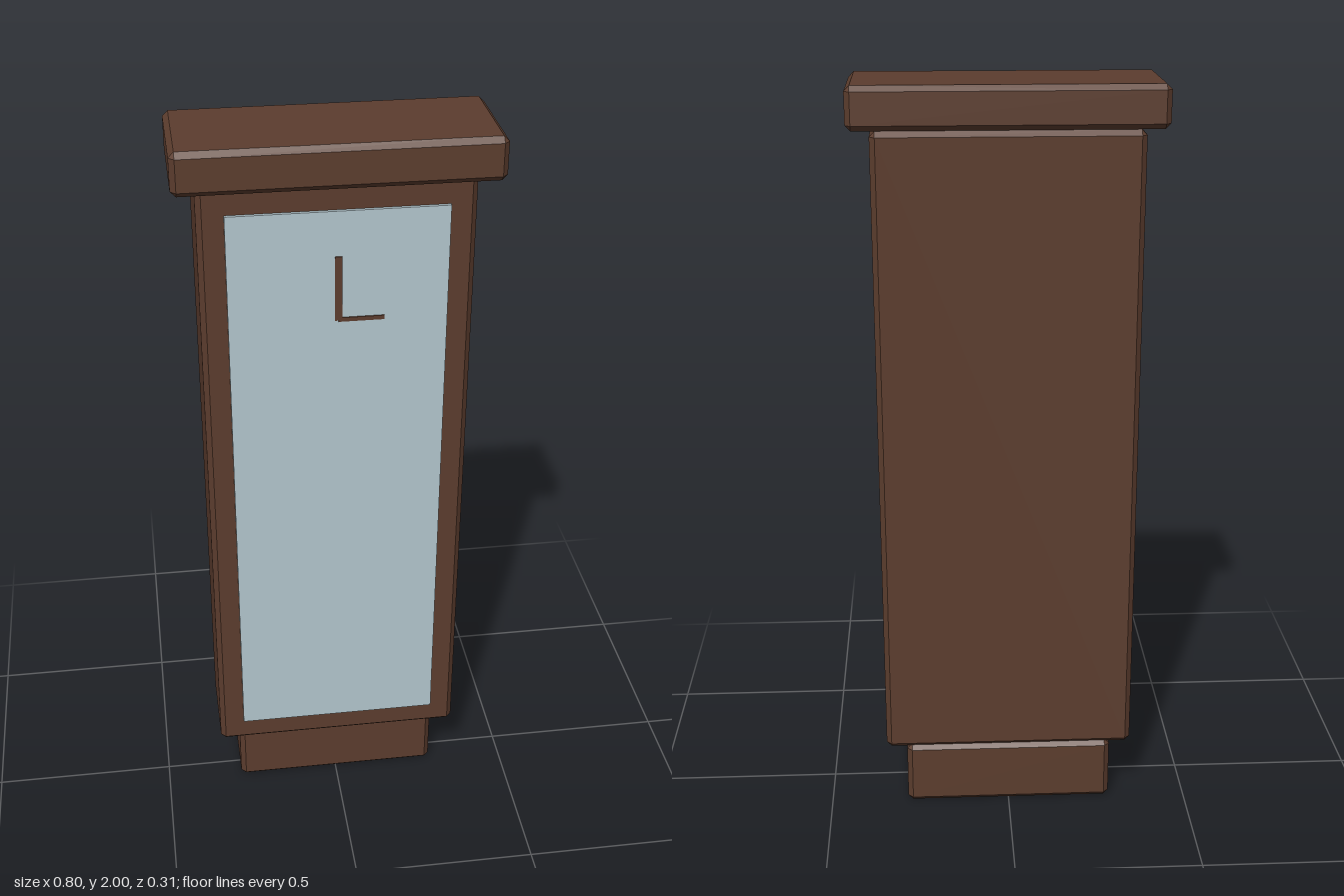
import * as THREE from 'three';
import { ConvexGeometry } from 'three/addons/geometries/ConvexGeometry.js';

const wood = new THREE.MeshStandardMaterial({ name: 'dark brown wood', color: 0x5c3d2e });
const glass = new THREE.MeshStandardMaterial({ name: 'pale blue glass', color: 0xb4c7ce });

const BACK = -0.155; // all wooden blocks share one flat back plane

// Box with every edge and corner cut by a flat chamfer c
function chamferedBox(w, h, d, c) {
  const points = [];
  const [x, y, z] = [w / 2, h / 2, d / 2];
  for (const sx of [-1, 1]) for (const sy of [-1, 1]) for (const sz of [-1, 1]) {
    points.push(
      new THREE.Vector3(sx * x, sy * (y - c), sz * (z - c)),
      new THREE.Vector3(sx * (x - c), sy * y, sz * (z - c)),
      new THREE.Vector3(sx * (x - c), sy * (y - c), sz * z),
    );
  }
  return new ConvexGeometry(points);
}

export function createModel() {
  const model = new THREE.Group();
  model.name = 'clockCase';

  const add = (name, geometry, material, x, y, z) => {
    const mesh = new THREE.Mesh(geometry, material);
    mesh.name = name;
    mesh.position.set(x, y, z);
    model.add(mesh);
  };

  // Wooden blocks: name, width, bottom, top, front
  const blocks = [
    ['base', 0.57, 0, 0.18, 0.07],
    ['body', 0.684, 0.175, 1.89, 0.1],
    ['cap', 0.8, 1.89, 2, 0.155],
  ];
  for (const [name, w, y0, y1, front] of blocks) {
    const d = front - BACK;
    add(name, chamferedBox(w, y1 - y0, d, 0.014), wood, 0, (y0 + y1) / 2, BACK + d / 2);
  }

  // Glass front panel
  add('glassPanel', new THREE.BoxGeometry(0.55, 1.572, 0.009), glass, 0, 1.034, 0.1045);

  // Two thin hands on the glass
  add('longHand', new THREE.BoxGeometry(0.018, 0.172, 0.004), wood, 0, 1.616, 0.11);
  add('shortHand', new THREE.BoxGeometry(0.115, 0.011, 0.004), wood, 0.0575, 1.532, 0.11);

  return model;
}
